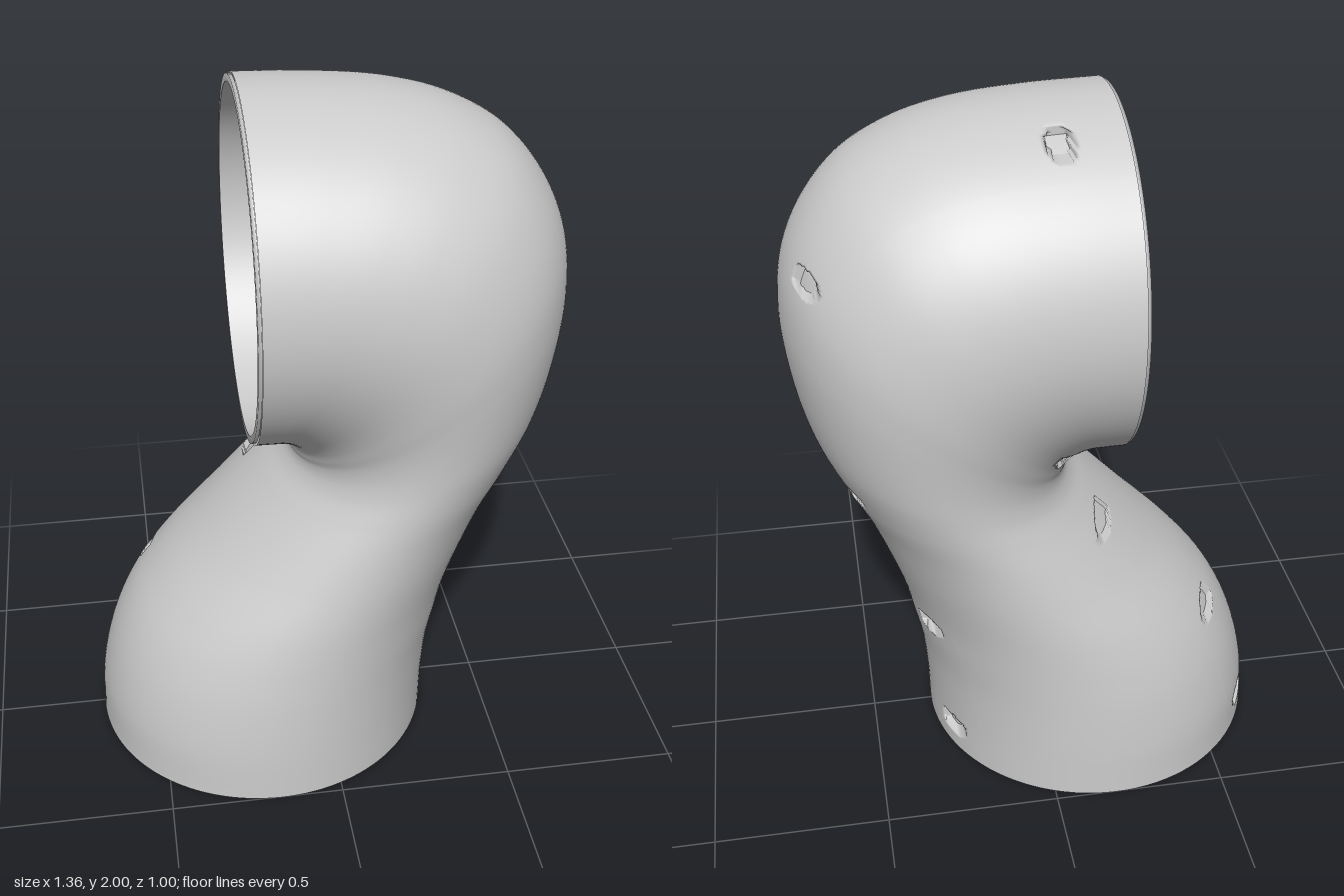
import * as THREE from 'three';

// Cross-sections from base to side opening: inner x, y, outer x, y, half width in z
const SECTIONS = [
  [-0.68, 0, 0.32, 0, 0.502], [-0.67, 0.15, 0.325, 0.15, 0.5], [-0.63, 0.3, 0.34, 0.3, 0.492],
  [-0.57, 0.42, 0.365, 0.42, 0.482], [-0.49, 0.52, 0.39, 0.53, 0.473], [-0.35, 0.66, 0.44, 0.68, 0.46],
  [-0.25, 0.76, 0.5, 0.83, 0.452], [-0.17, 0.84, 0.56, 0.95, 0.45], [-0.12, 0.89, 0.625, 1.1, 0.452],
  [-0.1, 0.92, 0.665, 1.27, 0.459], [-0.095, 0.94, 0.68, 1.45, 0.471], [-0.097, 0.95, 0.66, 1.6, 0.483],
  [-0.1, 0.965, 0.6, 1.73, 0.492], [-0.11, 0.98, 0.5, 1.845, 0.499], [-0.13, 0.993, 0.36, 1.925, 0.502],
  [-0.15, 1, 0.2, 1.97, 0.502], [-0.18, 1, 0, 1.992, 0.502], [-0.21, 1, -0.21, 2, 0.502],
];
const LAST = SECTIONS.length - 1;
const innerCurve = new THREE.CatmullRomCurve3(SECTIONS.map(s => new THREE.Vector3(s[0], s[1], s[4])));
const outerCurve = new THREE.CatmullRomCurve3(SECTIONS.map(s => new THREE.Vector3(s[2], s[3], s[4])));

// Centre, half axis and half width of the oval section at t (0 to 1)
function section(t) {
  const p = innerCurve.getPoint(t), q = outerCurve.getPoint(t);
  return { cx: (p.x + q.x) / 2, cy: (p.y + q.y) / 2, hx: (q.x - p.x) / 2, hy: (q.y - p.y) / 2, w: (p.z + q.z) / 2 };
}

// Screw pockets bored from the back: [section position, offset along the half axis (+ outer, - inner)]
const POCKET_RADIUS = 0.031;
const POCKETS = [
  [0.55, 0.9], [3.5, 0.9], [7.1, 0.9], [11.35, 0.9], [16.15, 0.9],
  [0.55, -0.9], [3.25, -0.9], [6.4, -0.9], [13, -0.82],
].map(([k, f]) => {
  const s = section(k / LAST);
  return { x: s.cx + f * s.hx, y: s.cy + f * s.hy, floor: 0.06 - s.w * Math.sqrt(1 - f * f) };
});

// Angles around a section, closer together where the pockets lie
const ANGLES = [];
for (const [from, to, count] of [[-40, -10, 26], [-10, 190, 70], [190, 220, 26], [220, 320, 28]])
  for (let i = 0; i < count; i++) ANGLES.push(THREE.MathUtils.degToRad(from + (to - from) * i / count));

// Bent tube lofted through the sections, optionally with the pockets pressed in
function shellGeometry(rows, scale, pockets) {
  const pos = [], index = [], cols = ANGLES.length;
  for (let i = 0; i <= rows; i++) {
    const s = section(i / rows);
    ANGLES.forEach((a, j) => {
      const c = scale * Math.cos(a);
      const x = s.cx + s.hx * c, y = s.cy + s.hy * c;
      let z = s.w * scale * Math.sin(a);
      const hit = z < 0 && pockets.find(p => Math.hypot(x - p.x, y - p.y) < POCKET_RADIUS);
      if (hit) z = Math.max(z, hit.floor);
      pos.push(x, y, z);
      if (i < rows) {
        const b = i * cols + j, n = i * cols + (j + 1) % cols;
        index.push(b, b + cols, n, n, b + cols, n + cols);
      }
    });
  }
  const g = new THREE.BufferGeometry();
  g.setAttribute('position', new THREE.Float32BufferAttribute(pos, 3));
  g.setIndex(index);
  g.computeVertexNormals();
  return g;
}

export function createModel() {
  const group = new THREE.Group();
  const mat = new THREE.MeshStandardMaterial({ color: 0xcccccc, side: THREE.DoubleSide });
  const add = (parent, geo, name) => {
    const m = new THREE.Mesh(geo, mat);
    m.name = name;
    parent.add(m);
    return m;
  };

  add(group, shellGeometry(360, 1, POCKETS), 'elbowShell');
  add(group, shellGeometry(80, 0.95, []), 'innerWall');

  // Mounting end: thin lip, recessed flange, inner collar and small bolts; +y points into the shell
  function mountingEnd(name, depth) {
    const end = new THREE.Group();
    end.name = name;
    const back = depth + 0.035;
    const bands = {
      Lip: [[0.495, 0.01], [0.495, 0], [0.474, 0]],
      Recess: [[0.474, 0], [0.474, depth]],
      Flange: [[0.474, depth], [0.405, depth]],
      Collar: [[0.405, depth], [0.405, back]],
      FlangeBack: [[0.405, back], [0.474, back]],
    };
    for (const [part, pts] of Object.entries(bands))
      add(end, new THREE.LatheGeometry(pts.map(p => new THREE.Vector2(...p)), 96), name + part);
    for (let i = 0; i < 8; i++) {
      const a = ((i + 0.5) / 8) * Math.PI * 2;
      add(end, new THREE.CylinderGeometry(0.009, 0.009, 0.006, 12), name + 'Bolt')
        .position.set(0.44 * Math.cos(a), depth - 0.001, 0.44 * Math.sin(a));
    }
    group.add(end);
    return end;
  }

  mountingEnd('baseMount', 0.04).position.set(-0.18, 0, 0);
  const side = mountingEnd('sideMount', 0.12);
  side.position.set(-0.22, 1.5, 0);
  side.rotation.z = -Math.PI / 2;

  return group;
}
